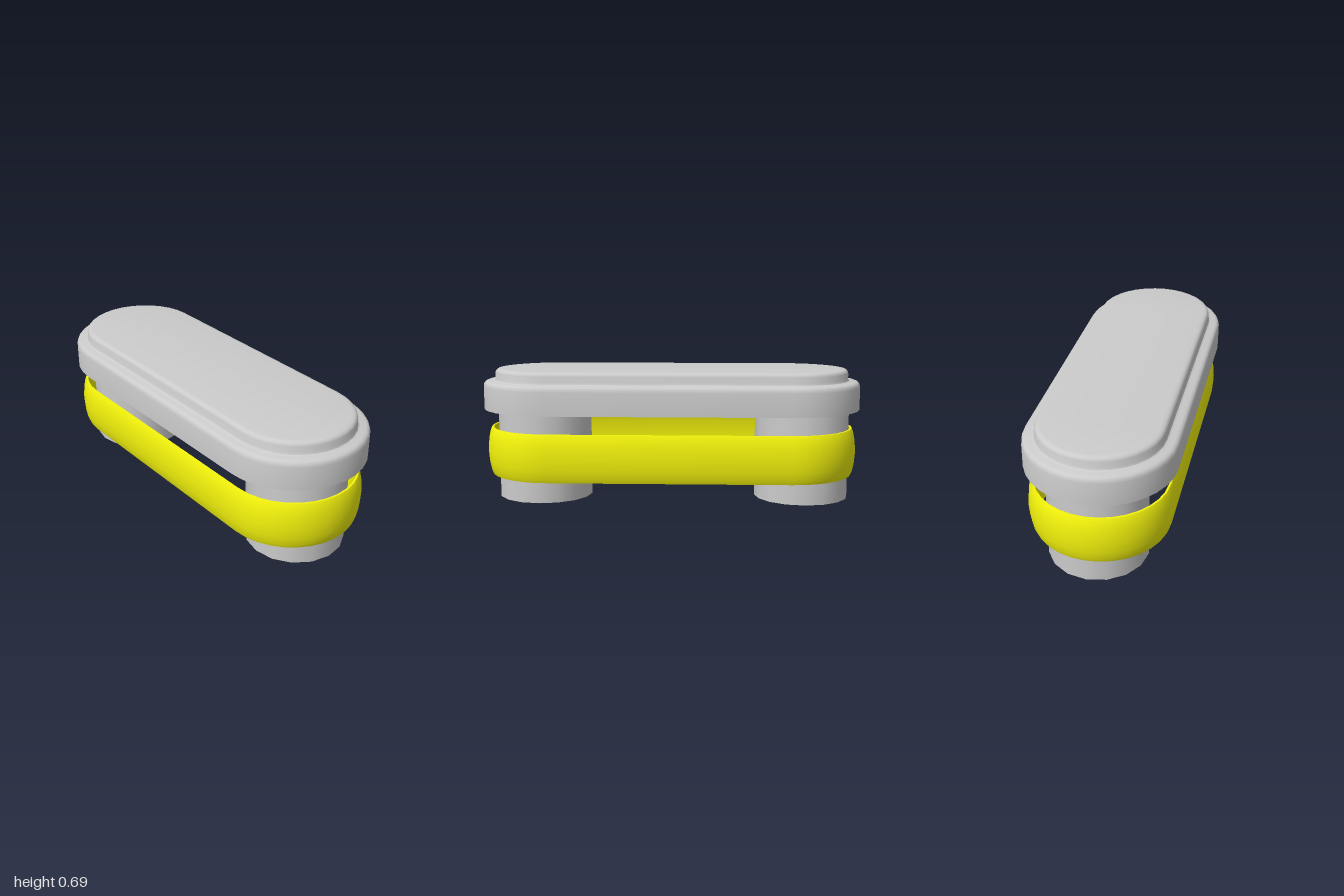
import * as THREE from 'three';
import { toCreasedNormals } from 'three/addons/utils/BufferGeometryUtils.js';

const ARC = 16; // segments per rounded end

// Sweeps a profile of [radius, y] points round a stadium whose end centres lie at z = +-half
function stadium(profile, half) {
  const pos = [], idx = [], n = 2 * (ARC + 1);
  for (const [r, y] of profile) {
    for (let end = 0; end < 2; end++) {
      for (let k = 0; k <= ARC; k++) {
        const a = Math.PI * (end + k / ARC);
        pos.push(r * Math.cos(a), y, r * Math.sin(a) + (end ? -half : half));
      }
    }
  }
  for (let i = 0; i < profile.length - 1; i++) {
    for (let j = 0; j < n; j++) {
      const a = i * n + j, b = i * n + (j + 1) % n, c = a + n, d = b + n;
      if (profile[i][0] > 0) idx.push(a, c, b);
      else idx.push(a, c, d);
      if (profile[i][0] > 0 && profile[i + 1][0] > 0) idx.push(b, c, d);
      else if (j % (ARC + 1) === ARC) idx.push(...(profile[i][0] > 0 ? [b, c, d] : [a, d, b]));
    }
  }
  const g = new THREE.BufferGeometry();
  g.setAttribute('position', new THREE.Float32BufferAttribute(pos, 3));
  g.setIndex(idx);
  return toCreasedNormals(g, Math.PI / 5);
}

export function createModel() {
  const model = new THREE.Group();
  const grey = new THREE.MeshStandardMaterial({ color: 0xcccccc });
  const yellow = new THREE.MeshStandardMaterial({ color: 0xf4f40c, side: THREE.DoubleSide });
  const add = (name, geometry, material) => {
    const mesh = new THREE.Mesh(geometry, material);
    mesh.name = name;
    model.add(mesh);
    return mesh;
  };

  // Two round posts carrying the cover
  for (const [name, z] of [['frontPost', 0.68], ['backPost', -0.70]]) {
    const post = toCreasedNormals(new THREE.CylinderGeometry(0.25, 0.25, 0.48, 16), Math.PI / 5);
    add(name, post, grey).position.set(0, 0.24, z);
  }

  // Long cover with a softened upper edge
  add('cover', stadium([
    [0, 0.475], [0.373, 0.475], [0.373, 0.595], [0.37, 0.61],
    [0.363, 0.62], [0.35, 0.625], [0, 0.625],
  ], 0.627), grey);

  // Raised plate on top of the cover
  add('topPlate', stadium([
    [0.325, 0.624], [0.315, 0.628], [0.31, 0.638], [0.31, 0.668],
    [0.305, 0.679], [0.296, 0.686], [0.28, 0.688], [0, 0.688],
  ], 0.627), grey);

  // Open bulging belt round both posts
  add('belt', stadium([
    [0.328, 0.127], [0.338, 0.127], [0.346, 0.145], [0.355, 0.19], [0.36, 0.252],
    [0.355, 0.314], [0.346, 0.359], [0.338, 0.377], [0.328, 0.377],
    [0.335, 0.355], [0.345, 0.252], [0.335, 0.149], [0.328, 0.127],
  ], 0.625), yellow);

  return model;
}
